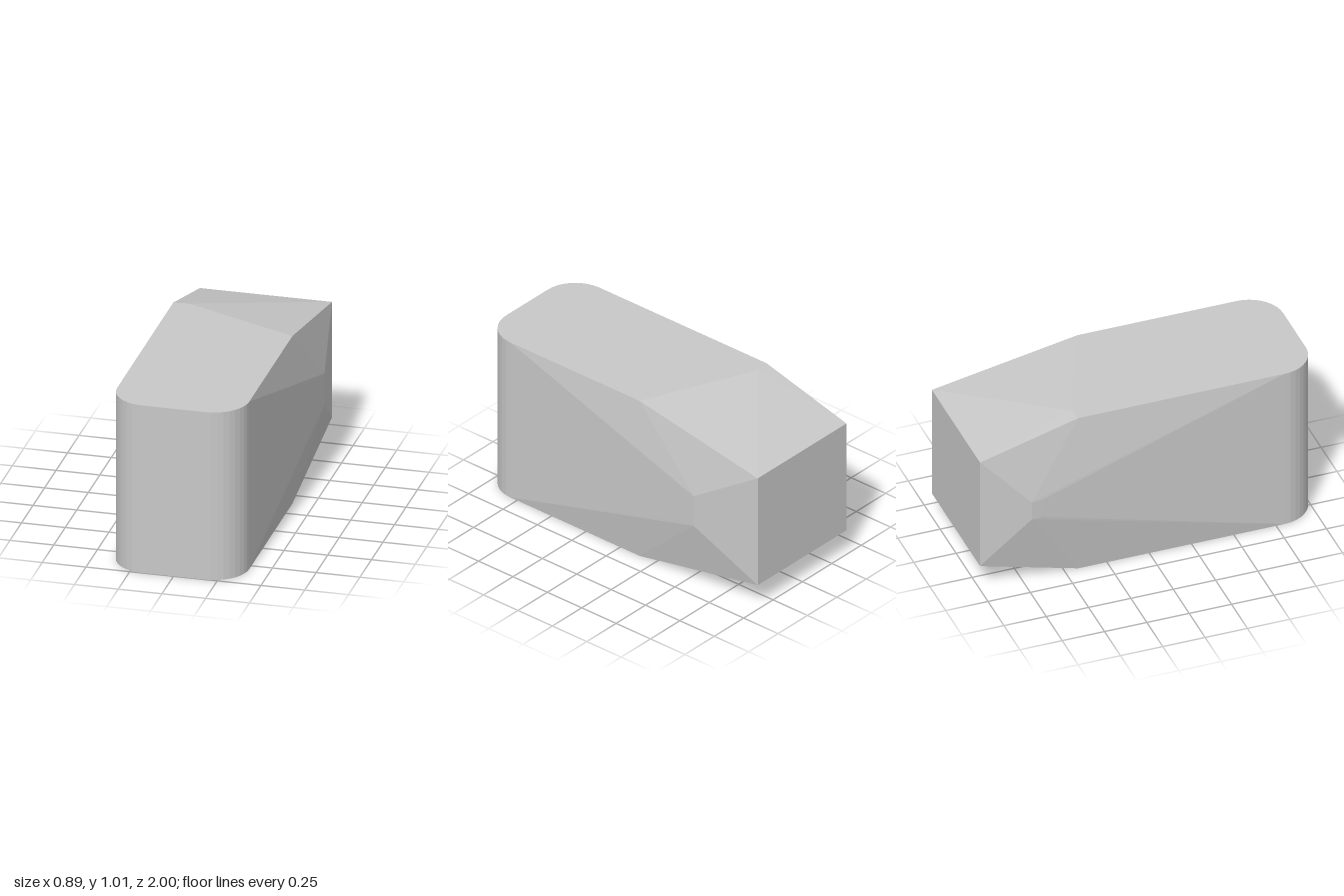
import * as THREE from 'three';
import { ConvexGeometry } from 'three/addons/geometries/ConvexGeometry.js';

const HEIGHT = 1.01;
const LEFT = 0.38, RIGHT = -0.375;

export function createModel() {
  const stoneGrey = new THREE.MeshStandardMaterial({ color: 0xc8c8c8 });
  const points = [];
  // adds a point and its mirror image across the mid-height plane
  const pair = (x, y, z) => points.push(
    new THREE.Vector3(x, y, z), new THREE.Vector3(x, HEIGHT - y, z));

  // rounded vertical corners at the front
  const radius = 0.2, steps = 9;
  for (let i = 0; i <= steps; i++) {
    const a = (i / steps) * Math.PI / 2;
    const dx = radius * (Math.cos(a) - 1);
    const z = 1 - radius + radius * Math.sin(a);
    pair(LEFT + dx, HEIGHT, z);
    pair(RIGHT - dx, HEIGHT, z);
  }

  // skewed rear end of the flat top and bottom
  pair(LEFT, HEIGHT, -0.14);
  pair(-0.29, HEIGHT, -0.43);
  pair(RIGHT, HEIGHT, -0.42);

  // smaller rectangular back face
  pair(LEFT, 0.853, -1);
  pair(RIGHT, 0.853, -1);

  // bulges on the two sides
  pair(0.445, 0.602, -0.59);
  pair(0.441, 0.604, -0.5);
  pair(-0.445, 0.562, -0.72);
  pair(-0.444, 0.562, -0.66);

  const body = new THREE.Mesh(new ConvexGeometry(points), stoneGrey);
  body.name = 'facetedBody';

  const group = new THREE.Group();
  group.name = 'facetedBlock';
  group.add(body);
  return group;
}
